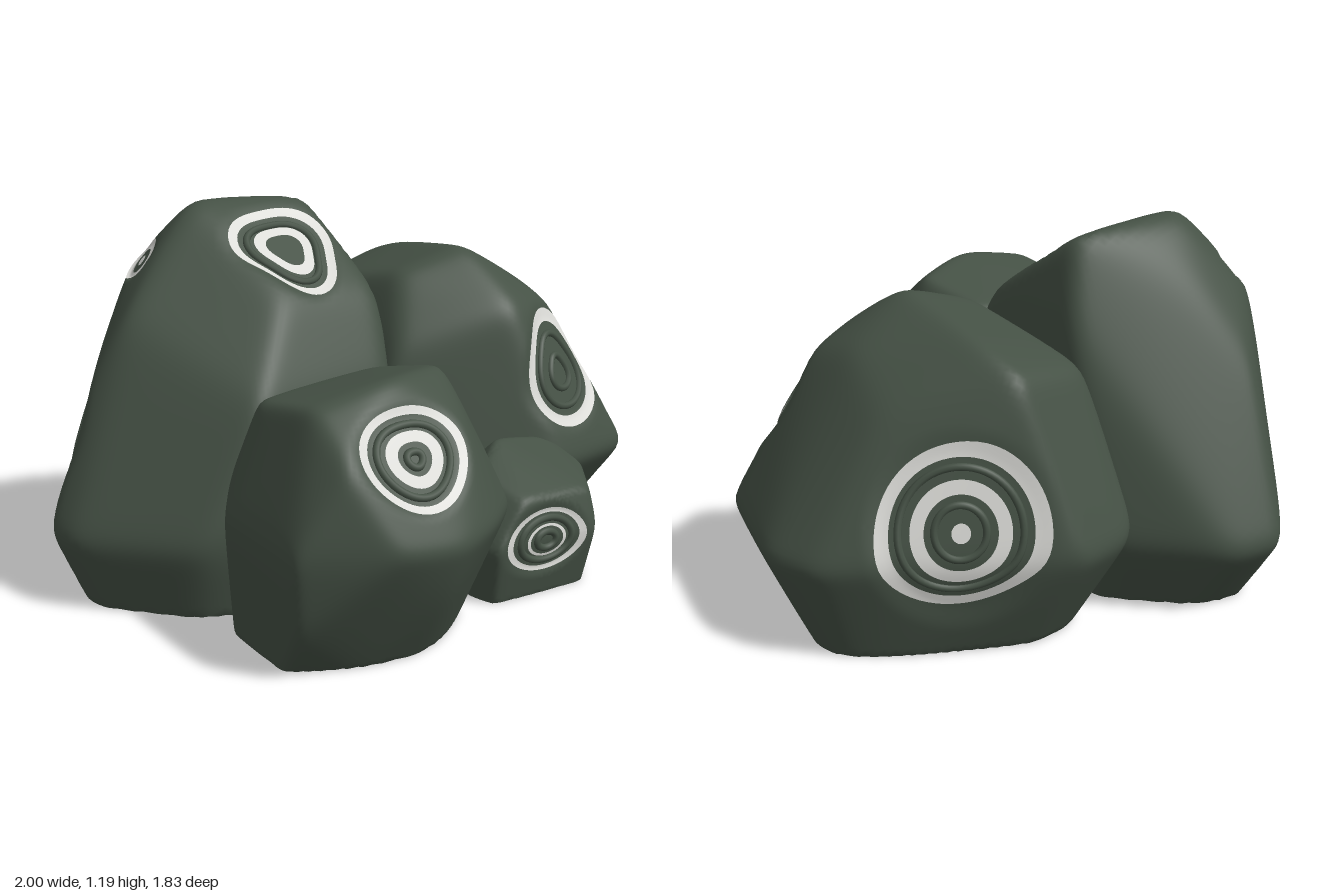
import * as THREE from 'three';
import { mergeVertices, toCreasedNormals } from 'three/addons/utils/BufferGeometryUtils.js';
import { ConvexGeometry } from 'three/addons/geometries/ConvexGeometry.js';

const V = (a) => new THREE.Vector3(...a);
const UP = new THREE.Vector3(0, 1, 0);

const stone = new THREE.MeshStandardMaterial({ color: 0x455145 });
stone.name = 'darkStone';
const pale = new THREE.MeshStandardMaterial({ color: 0xdcdcd8 });
pale.name = 'paleRing';

// Rock corners: a belly outline [x, z] at one height, the same outline drawn in
// at the floor (scale x, scale z, shift z), and a few crown points
function rockCorners({ centre, bellyY, belly, floor, crown }) {
  const [cx, , cz] = centre;
  const [sx, sz, shift] = floor;
  return [
    ...belly.map(([x, z]) => V([x, bellyY, z])),
    ...belly.map(([x, z]) => V([cx + (x - cx) * sx, -0.03, cz + (z - cz) * sz + shift])),
    ...crown.map(V),
  ];
}

// Softly rounded convex surface: distance from the centre along a direction
function roundedHull(centre, corners) {
  const pos = new ConvexGeometry(corners.map((p) => p.sub(centre).multiplyScalar(1.03))).attributes.position;
  const planes = [];
  for (let i = 0; i < pos.count; i += 3) {
    const [a, b, c] = [0, 1, 2].map((k) => new THREE.Vector3().fromBufferAttribute(pos, i + k));
    const n = b.sub(a).cross(c.sub(a)).normalize();
    if (planes.every((q) => q.n.dot(n) < 0.998)) planes.push({ n, d: n.dot(a) });
  }
  return (dir) => {
    let sum = 0;
    for (const { n, d } of planes) sum += Math.max(0, n.dot(dir) / d) ** 40;
    return sum ** (-1 / 40);
  };
}

// Eye outline: an ellipse pulled towards a rounded triangle or an upward tip
const outline = ({ w, h, tri, tip }, t) =>
  (1 + tri * Math.sin(3 * t) + tip * Math.max(0, Math.sin(t)) ** 8) / Math.hypot(Math.cos(t) / w, Math.sin(t) / h);

// Bands [inner, outer] and ridges of an eye are fractions of its outline
function buildRock(name, spec) {
  const rock = new THREE.Group();
  rock.name = name;
  const centre = V(spec.centre);
  const hull = roundedHull(centre, rockCorners(spec));
  const add = (partName, geometry, material) => {
    const mesh = new THREE.Mesh(geometry, material);
    mesh.name = partName;
    rock.add(mesh);
  };

  // Local frame of each eye on the rock's surface
  const onHull = (p) => {
    const dir = p.clone().sub(centre).normalize();
    return dir.multiplyScalar(hull(dir)).add(centre);
  };
  const eyes = spec.eyes.map((eye) => {
    const o = onHull(V(eye.at));
    const dir = o.clone().sub(centre).normalize();
    const a = new THREE.Vector3().crossVectors(UP, dir).normalize();
    const b = new THREE.Vector3().crossVectors(dir, a);
    const across = (axis) =>
      onHull(o.clone().addScaledVector(axis, 0.08)).sub(onHull(o.clone().addScaledVector(axis, -0.08)));
    const n = across(a).cross(across(b)).normalize();
    const u = new THREE.Vector3().crossVectors(UP, n).normalize();
    return { ...eye, o, n, u, v: new THREE.Vector3().crossVectors(n, u) };
  });

  // Surface with a shallow basin under every eye
  const surface = (p, lift) => {
    const dir = p.clone().sub(centre).normalize();
    const q = onHull(p);
    let dip = 0;
    for (const e of eyes) {
      if (dir.dot(e.n) < 0.3) continue;
      const d = q.clone().sub(e.o);
      const x = d.dot(e.u), y = d.dot(e.v);
      const rho = Math.hypot(x, y) / outline(e, Math.atan2(y, x));
      dip = Math.max(dip, 0.016 * (1 - THREE.MathUtils.smoothstep(rho, 0.8, 1.12)));
    }
    q.addScaledVector(dir, lift - dip);
    q.y = Math.max(0, q.y);
    return q;
  };

  // Rock body
  let body = new THREE.IcosahedronGeometry(1, 32);
  body.deleteAttribute('uv');
  body.deleteAttribute('normal');
  body = mergeVertices(body, 1e-5);
  const pos = body.attributes.position;
  for (let i = 0; i < pos.count; i++) {
    const q = surface(new THREE.Vector3().fromBufferAttribute(pos, i).add(centre), 0);
    pos.setXYZ(i, q.x, q.y, q.z);
  }
  add('rockBody', toCreasedNormals(body, 0.7), stone);

  for (const e of eyes) {
    const point = (t, f, lift) => {
      const r = outline(e, t) * f;
      const p = e.o.clone().addScaledVector(e.u, r * Math.cos(t)).addScaledVector(e.v, r * Math.sin(t));
      return surface(p, lift);
    };
    // Thin pale bands laid on the surface
    for (const [inner, outer] of e.bands) {
      const xyz = [], index = [], N = 64, M = 4;
      for (let i = 0; i <= N; i++) {
        for (let j = 0; j <= M; j++) {
          const f = THREE.MathUtils.lerp(inner, outer, j / M);
          xyz.push(...point((i / N) * Math.PI * 2, f, 0.006).toArray());
          if (i === N || j === M) continue;
          const k = i * (M + 1) + j;
          index.push(k, k + 1, k + M + 2, k, k + M + 2, k + M + 1);
        }
      }
      const band = new THREE.BufferGeometry();
      band.setAttribute('position', new THREE.Float32BufferAttribute(xyz, 3));
      band.setIndex(index);
      band.computeVertexNormals();
      add('paleBand', band, pale);
    }
    // Rounded stone ridges between the bands
    for (const f of e.ridges) {
      const loop = Array.from({ length: 32 }, (_, i) => point((i / 32) * Math.PI * 2, f, 0));
      add('stoneRidge', new THREE.TubeGeometry(new THREE.CatmullRomCurve3(loop, true), 64, 0.012, 8, true), stone);
    }
  }
  return rock;
}

export function createModel() {
  const model = new THREE.Group();
  model.name = 'rockCluster';

  model.add(buildRock('tallRock', {
    centre: [-0.4, 0.45, -0.3], bellyY: 0.25, floor: [0.82, 0.76, 0.05],
    belly: [[-1, -0.18], [-1, -0.3], [-0.28, -0.92], [-0.12, -0.87], [0.11, -0.55], [0.08, 0.08], [-0.03, 0.21], [-0.55, 0.24], [-0.75, 0.17]],
    crown: [[-0.4, 1.18, -0.36], [0, 1.17, -0.31], [-0.35, 1.16, -0.44], [-0.33, 0.95, 0.03], [0.03, 0.9, 0.05], [-0.72, 0.86, -0.28],
      [-0.6, 0.95, -0.36], [-0.52, 0.96, -0.55], [-0.25, 1, -0.55], [-0.35, 0.76, -0.72], [-0.82, 0.66, -0.33], [0.1, 0.88, -0.38],
      [-0.55, 0.65, 0.19], [-0.03, 0.65, 0.18]],
    eyes: [
      { at: [-0.2, 1.03, -0.13], w: 0.18, h: 0.19, tri: 0.1, tip: 0, bands: [[0.84, 1], [0.36, 0.56]], ridges: [0.68] },
      { at: [-0.52, 1, -0.47], w: 0.08, h: 0.08, tri: 0, tip: 0, bands: [[0.58, 1], [0, 0.24]], ridges: [] },
      { at: [-0.71, 0.46, -0.51], w: 0.29, h: 0.27, tri: -0.06, tip: 0, bands: [[0.92, 1], [0.47, 0.52]], ridges: [0.7, 0.38, 0.12] },
    ],
  }));

  model.add(buildRock('broadRock', {
    centre: [0.5, 0.45, -0.1], bellyY: 0.32, floor: [0.74, 0.6, -0.04],
    belly: [[0.02, -0.5], [0.13, -0.66], [0.38, -0.68], [0.86, -0.31], [0.97, -0.17], [1, 0.02], [0.82, 0.42], [0.48, 0.46], [0.09, 0.22], [-0.03, 0.12]],
    crown: [[0.4, 1, 0.07], [0.18, 0.94, 0], [0.46, 0.94, -0.34], [0.46, 0.86, -0.5], [0.15, 0.82, -0.45], [0.64, 0.86, 0.02],
      [0.72, 0.75, -0.18], [0.62, 0.81, 0.24], [0.4, 0.84, 0.3], [0.06, 0.7, 0.12]],
    eyes: [
      { at: [0.58, 0.6, 0.37], w: 0.17, h: 0.19, tri: -0.03, tip: 0.2, bands: [[0.8, 1]], ridges: [0.62, 0.28] },
      { at: [0.64, 0.43, -0.43], w: 0.27, h: 0.29, tri: 0, tip: 0, bands: [[0.83, 1], [0.42, 0.58], [0, 0.11]], ridges: [0.72, 0.3] },
    ],
  }));

  model.add(buildRock('frontRock', {
    centre: [-0.4, 0.38, 0.5], bellyY: 0.4, floor: [0.84, 0.72, -0.1],
    belly: [[-0.81, 0.7], [-0.58, 0.89], [-0.37, 0.92], [-0.2, 0.87], [-0.03, 0.74], [0.02, 0.35], [-0.1, 0.1], [-0.6, 0.1], [-0.76, 0.3]],
    crown: [[-0.4, 0.83, 0.62], [-0.65, 0.77, 0.58], [-0.62, 0.73, 0.3], [-0.18, 0.75, 0.3], [-0.14, 0.8, 0.55], [-0.66, 0.65, 0.76],
      [-0.22, 0.66, 0.76], [-0.79, 0.15, 0.67], [-0.38, 0.22, 0.86]],
    eyes: [
      { at: [-0.43, 0.64, 0.77], w: 0.19, h: 0.165, tri: 0.04, tip: 0, bands: [[0.86, 1], [0.32, 0.54]], ridges: [0.7, 0.15] },
    ],
  }));

  model.add(buildRock('smallRock', {
    centre: [0.29, 0.2, 0.46], bellyY: 0.19, floor: [0.9, 0.8, -0.01],
    belly: [[0.57, 0.5], [0.4, 0.7], [0.2, 0.68], [0.03, 0.65], [0.01, 0.54], [0.1, 0.2], [0.5, 0.2]],
    crown: [[0.1, 0.38, 0.48], [0.25, 0.45, 0.4], [0.46, 0.41, 0.41], [0.14, 0.33, 0.65], [0.4, 0.32, 0.66], [0.53, 0.33, 0.5]],
    eyes: [
      { at: [0.21, 0.19, 0.68], w: 0.16, h: 0.115, tri: 0, tip: 0, bands: [[0.86, 1], [0.42, 0.5]], ridges: [0.68, 0.25] },
    ],
  }));

  return model;
}
